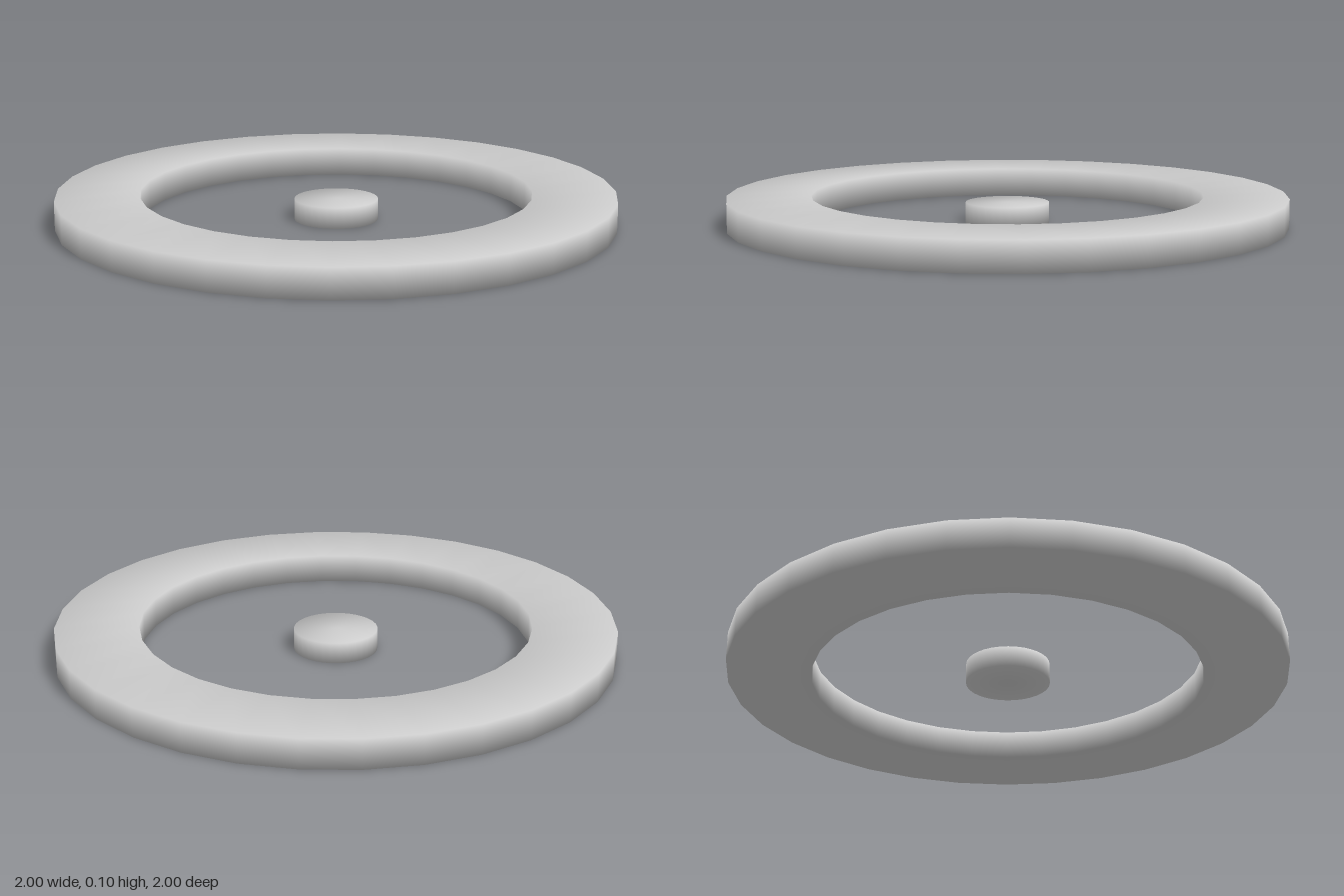
import * as THREE from 'three';
import { mergeVertices } from 'three/addons/utils/BufferGeometryUtils.js';

const SEGMENTS = 32;
const RING = { outer: 1, inner: 0.7, height: 0.105 };
const DISC = { radius: 0.15, height: 0.075 };

// Revolve a profile, then weld it so the shading flows softly over every edge
function softLathe(profile) {
  const points = profile.map(([r, y]) => new THREE.Vector2(r, y));
  const geometry = new THREE.LatheGeometry(points, SEGMENTS);
  geometry.deleteAttribute('normal');
  geometry.deleteAttribute('uv');
  const welded = mergeVertices(geometry, 1e-4);
  welded.computeVertexNormals();
  return welded;
}

export function createModel() {
  const group = new THREE.Group();
  const material = new THREE.MeshStandardMaterial({ color: 0xcccccc });

  function add(name, profile) {
    const mesh = new THREE.Mesh(softLathe(profile), material);
    mesh.name = name;
    group.add(mesh);
  }

  // Flat ring with a rectangular section
  add('outerRing', [
    [RING.outer, 0],
    [RING.outer, RING.height],
    [RING.inner, RING.height],
    [RING.inner, 0],
    [RING.outer, 0],
  ]);

  // Small, slightly thinner disc in the middle
  add('centreDisc', [
    [0, 0],
    [DISC.radius, 0],
    [DISC.radius, DISC.height],
    [0, DISC.height],
  ]);

  return group;
}
